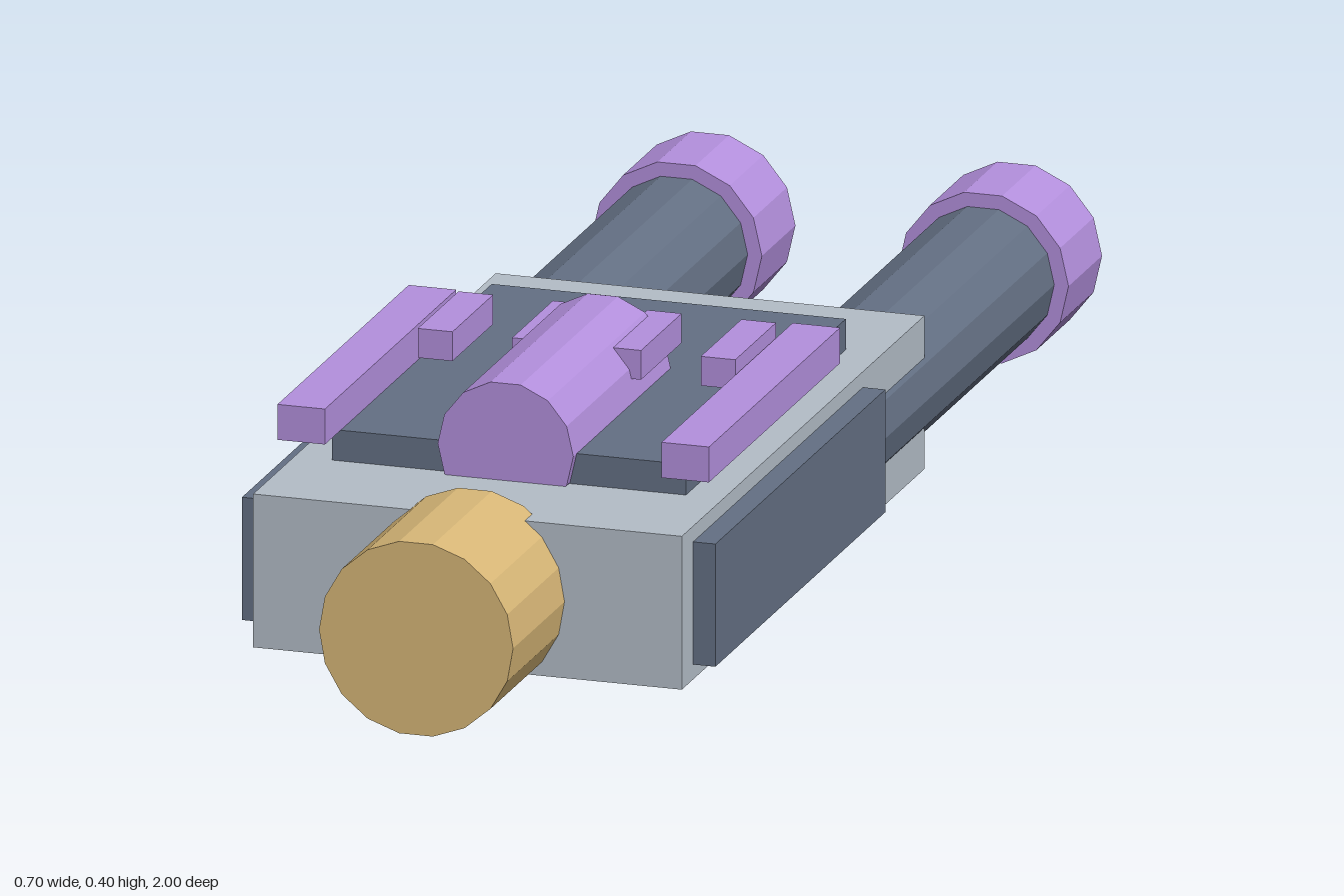
import * as THREE from 'three';

const mat = (color) => new THREE.MeshStandardMaterial({ color, flatShading: true });

export function createModel() {
  const model = new THREE.Group();
  const hull = mat(0xb4bec8), slate = mat(0x647084), violet = mat(0xb490de), gold = mat(0xd9b878);

  const add = (name, geometry, material, x, y, z) => {
    const mesh = new THREE.Mesh(geometry, material);
    mesh.name = name;
    mesh.position.set(x, y, z);
    model.add(mesh);
  };
  // Box given by its centre x, width, and y and z ranges
  const box = (name, material, x, w, y0, y1, z0, z1) =>
    add(name, new THREE.BoxGeometry(w, y1 - y0, z1 - z0), material, x, (y0 + y1) / 2, (z0 + z1) / 2);
  // Cylinder lying along z, with a corner pointing sideways and a flat on top
  const rod = (name, material, sides, r, x, y, z0, z1) => {
    const g = new THREE.CylinderGeometry(r, r, z1 - z0, sides).rotateY(Math.PI / 2).rotateX(Math.PI / 2);
    add(name, g, material, x, y, (z0 + z1) / 2);
  };

  // Main block, raised deck and front nozzle
  box('body', hull, 0, 0.632, 0.03, 0.255, -0.315, 0.77);
  box('deck', slate, 0, 0.522, 0.25, 0.3, -0.13, 0.585);
  rod('nozzle', gold, 18, 0.143, 0, 0.142, 0.737, 1);
  rod('deckCylinder', violet, 14, 0.1, 0, 0.3, 0.165, 0.6);

  // Mirrored side parts
  for (const [side, s] of [['left', 1], ['right', -1]]) {
    box(side + 'SidePanel', slate, s * 0.329, 0.04, 0.052, 0.232, -0.04, 0.72);
    box(side + 'Rail', violet, s * 0.283, 0.07, 0.3, 0.352, 0.068, 0.655);
    rod(side + 'RearBarrel', slate, 14, 0.105, s * 0.226, 0.142, -0.86, 0.1);
    rod(side + 'BarrelCap', violet, 14, 0.126, s * 0.226, 0.142, -1, -0.85);
  }

  // Row of small bars above the deck, slightly off centre
  for (let i = 0; i < 4; i++)
    box('smallBar' + (i + 1), violet, -0.196 + i * 0.139, 0.051, 0.33, 0.373, 0.138, 0.32);

  return model;
}
